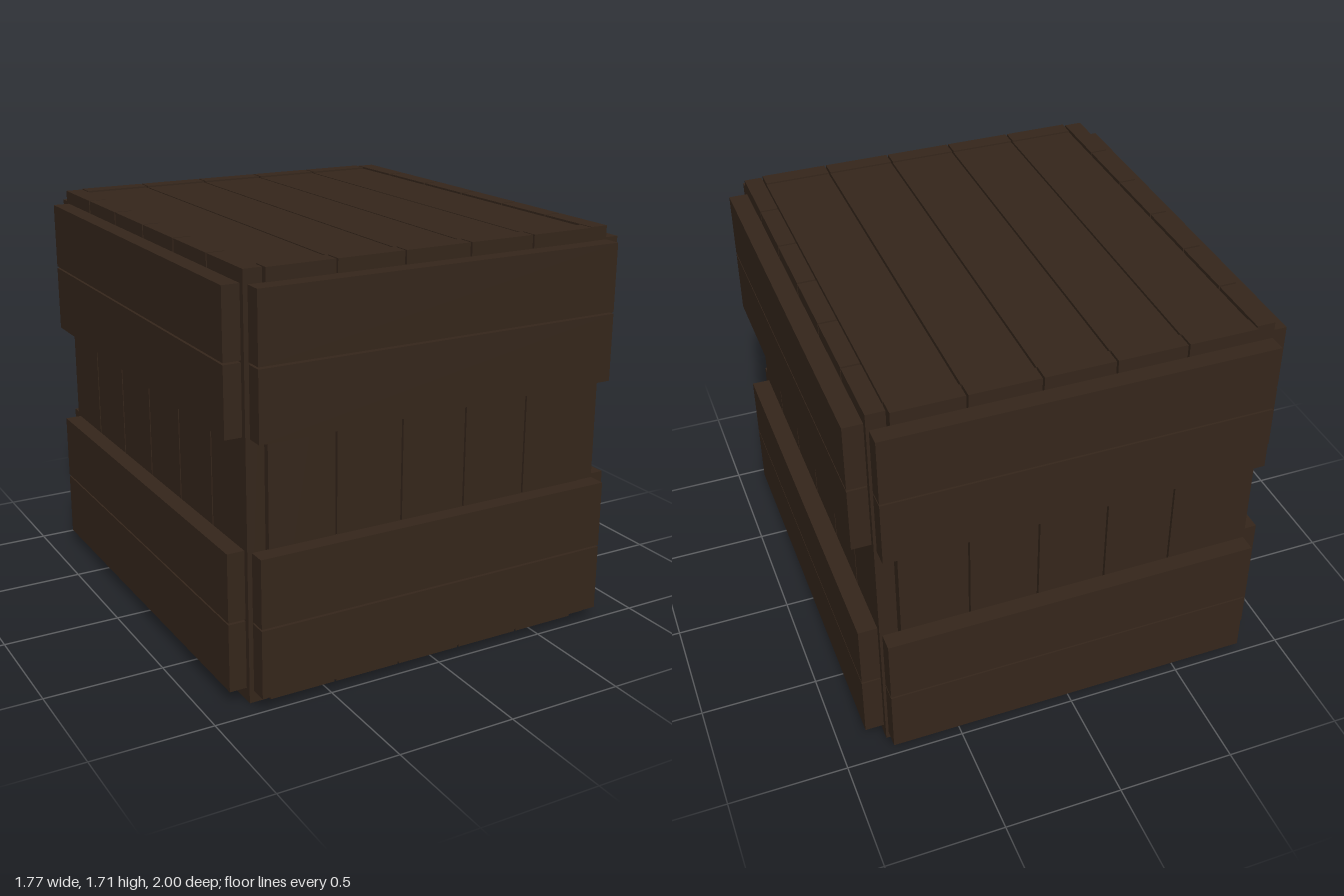
import * as THREE from 'three';

const wood = new THREE.MeshStandardMaterial({ color: 0x35261b });

// Box plank given by its [min, max] range on each axis
function plank(parent, name, [x0, x1], [y0, y1], [z0, z1]) {
  const mesh = new THREE.Mesh(new THREE.BoxGeometry(x1 - x0, y1 - y0, z1 - z0), wood);
  mesh.position.set((x0 + x1) / 2, (y0 + y1) / 2, (z0 + z1) / 2);
  mesh.name = name;
  parent.add(mesh);
}

// Splits a span into equal plank ranges with a narrow gap between them
function ranges(start, end, count, gap) {
  const pitch = (end - start + gap) / count;
  return Array.from({ length: count }, (_, i) => [start + i * pitch, start + (i + 1) * pitch - gap]);
}

function section(parent, name) {
  const group = new THREE.Group();
  group.name = name;
  parent.add(group);
  return group;
}

export function createModel() {
  const crate = new THREE.Group();
  crate.name = 'woodenCrate';
  const height = [0, 1.705];
  const columns = ranges(-0.731, 0.721, 5, 0.008);
  const rows = ranges(-0.908, 0.918, 6, 0.009);
  const bands = [...ranges(0.055, 0.63, 2, 0.008), ...ranges(1.077, 1.65, 2, 0.008)];

  // Lid and floor boards running front to back
  const lid = section(crate, 'lid');
  const floor = section(crate, 'floor');
  for (const x of columns) {
    plank(lid, 'lidPlank', x, [1.625, 1.699], [-0.846, 0.856]);
    plank(floor, 'floorPlank', x, [0.004, 0.078], [-0.846, 0.856]);
  }

  // Front and back walls: upright planks with horizontal outer boards
  const ends = [
    ['front', [0.856, 0.93], [0.926, 1]],
    ['back', [-0.926, -0.853], [-1, -0.926]],
  ];
  for (const [name, inner, outer] of ends) {
    const wall = section(crate, name + 'Wall');
    for (const x of columns) plank(wall, name + 'Plank', x, height, inner);
    for (const y of bands) plank(wall, name + 'Board', [-0.8, 0.798], y, outer);
  }

  // Left and right walls, built the same way
  const sides = [
    ['left', [0.729, 0.805], [0.805, 0.885]],
    ['right', [-0.815, -0.739], [-0.887, -0.815]],
  ];
  for (const [name, inner, outer] of sides) {
    const wall = section(crate, name + 'Wall');
    for (const z of rows) plank(wall, name + 'Plank', inner, height, z);
    for (const y of bands) plank(wall, name + 'Board', outer, y, [-0.882, 0.893]);
  }

  return crate;
}
